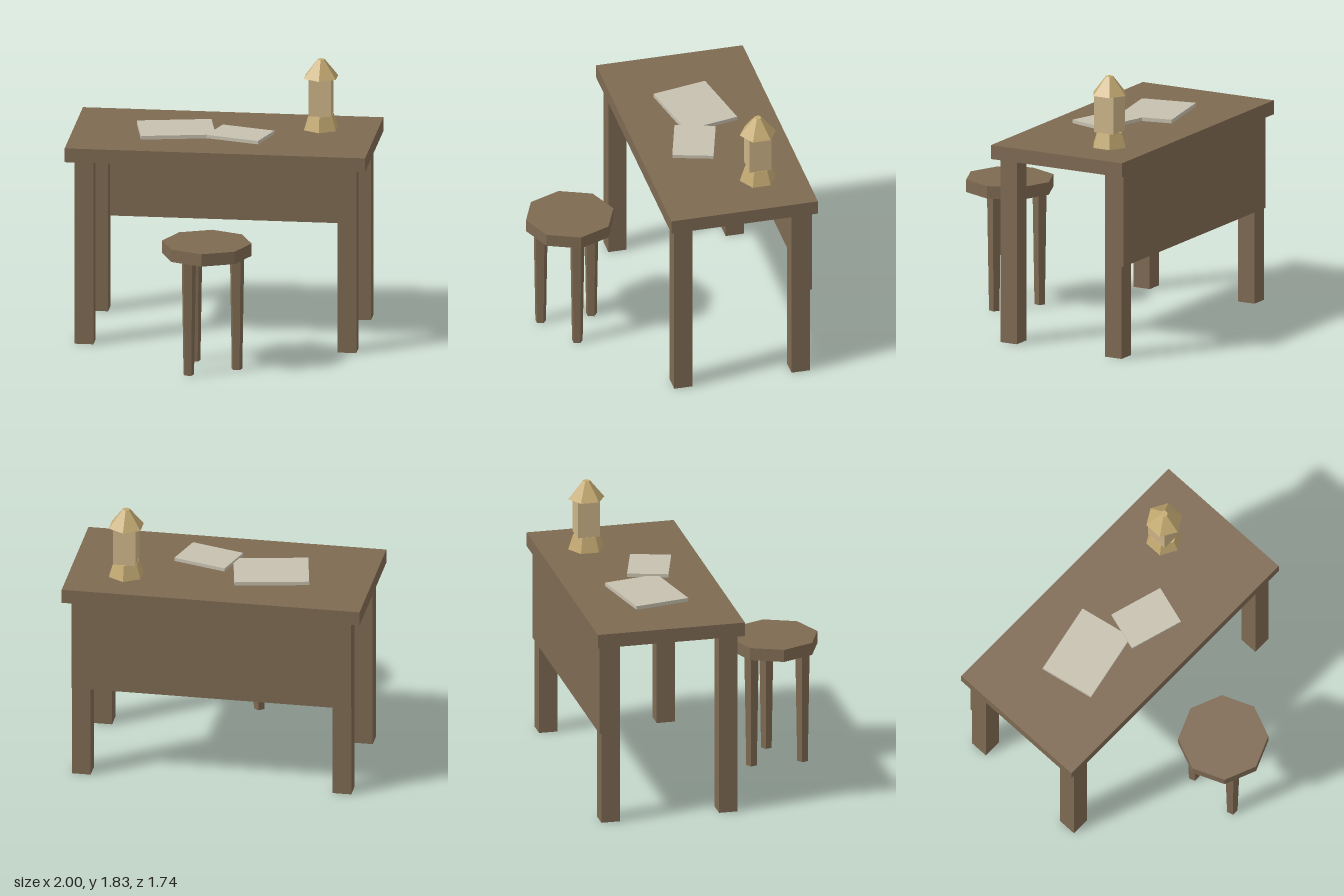
import * as THREE from 'three';

export function createModel() {
  const model = new THREE.Group();
  model.name = 'deskAndStool';

  const material = (name, color) => {
    const m = new THREE.MeshStandardMaterial({ color, flatShading: true });
    m.name = name;
    return m;
  };
  const wood = material('wood', 0x7e6a52);
  const paper = material('paper', 0xc6c0ae);
  const brass = material('brass', 0xc4aa72);
  const glass = material('glass', 0xccb488);

  const add = (parent, name, geometry, mat, x, y, z, turn = 0) => {
    const mesh = new THREE.Mesh(geometry, mat);
    mesh.name = name;
    mesh.position.set(x, y, z);
    mesh.rotation.y = turn;
    parent.add(mesh);
    return mesh;
  };
  const group = (name, x = 0, y = 0, z = 0) => {
    const g = new THREE.Group();
    g.name = name;
    g.position.set(x, y, z);
    model.add(g);
    return g;
  };
  const box = (w, h, d) => new THREE.BoxGeometry(w, h, d);
  const prism = (top, bottom, h, sides) => new THREE.CylinderGeometry(top, bottom, h, sides);

  // Desk: top, four square legs and a panel across the back
  const desk = group('desk', 0, 0, -0.37);
  add(desk, 'deskTop', box(2, 0.095, 1), wood, 0, 1.3025, 0);
  for (const sx of [-1, 1]) {
    for (const sz of [-1, 1]) {
      const name = (sz > 0 ? 'front' : 'back') + (sx > 0 ? 'Left' : 'Right') + 'DeskLeg';
      add(desk, name, box(0.125, 1.255, 0.125), wood, sx * 0.875, 0.6275, sz * 0.4 + 0.002);
    }
  }
  add(desk, 'backPanel', box(1.875, 0.627, 0.03), wood, 0, 0.9415, -0.459);

  // Stool: eight-sided seat on three tapered five-sided legs
  const stool = group('stool', 0, 0, 0.567);
  add(stool, 'seat', prism(0.298, 0.298, 0.085, 8), wood, 0, 0.8225, 0);
  for (let i = 0; i < 3; i++) {
    const a = (i * Math.PI * 2) / 3;
    add(stool, 'stoolLeg' + (i + 1), prism(0.05, 0.037, 0.78, 5), wood,
      0.2 * Math.cos(a), 0.39, 0.2 * Math.sin(a), Math.PI);
  }

  // Papers lying askew, the smaller one overlapping the larger
  const papers = group('papers');
  add(papers, 'largePaper', box(0.495, 0.025, 0.377), paper, -0.318, 1.3625, -0.372, 0.195);
  add(papers, 'smallPaper', box(0.372, 0.023, 0.273), paper, 0.124, 1.3775, -0.249, -0.29);

  // Lantern: flared base, square body and tapered cap
  const lantern = group('lantern', 0.623, 1.35, -0.556);
  add(lantern, 'lanternBase', prism(0.09, 0.123, 0.1, 6), brass, 0, 0.05, 0);
  add(lantern, 'lanternBody', box(0.15, 0.255, 0.15), glass, 0, 0.2275, 0);
  add(lantern, 'lanternCap', prism(0.025, 0.123, 0.122, 6), brass, 0, 0.414, 0);

  return model;
}
